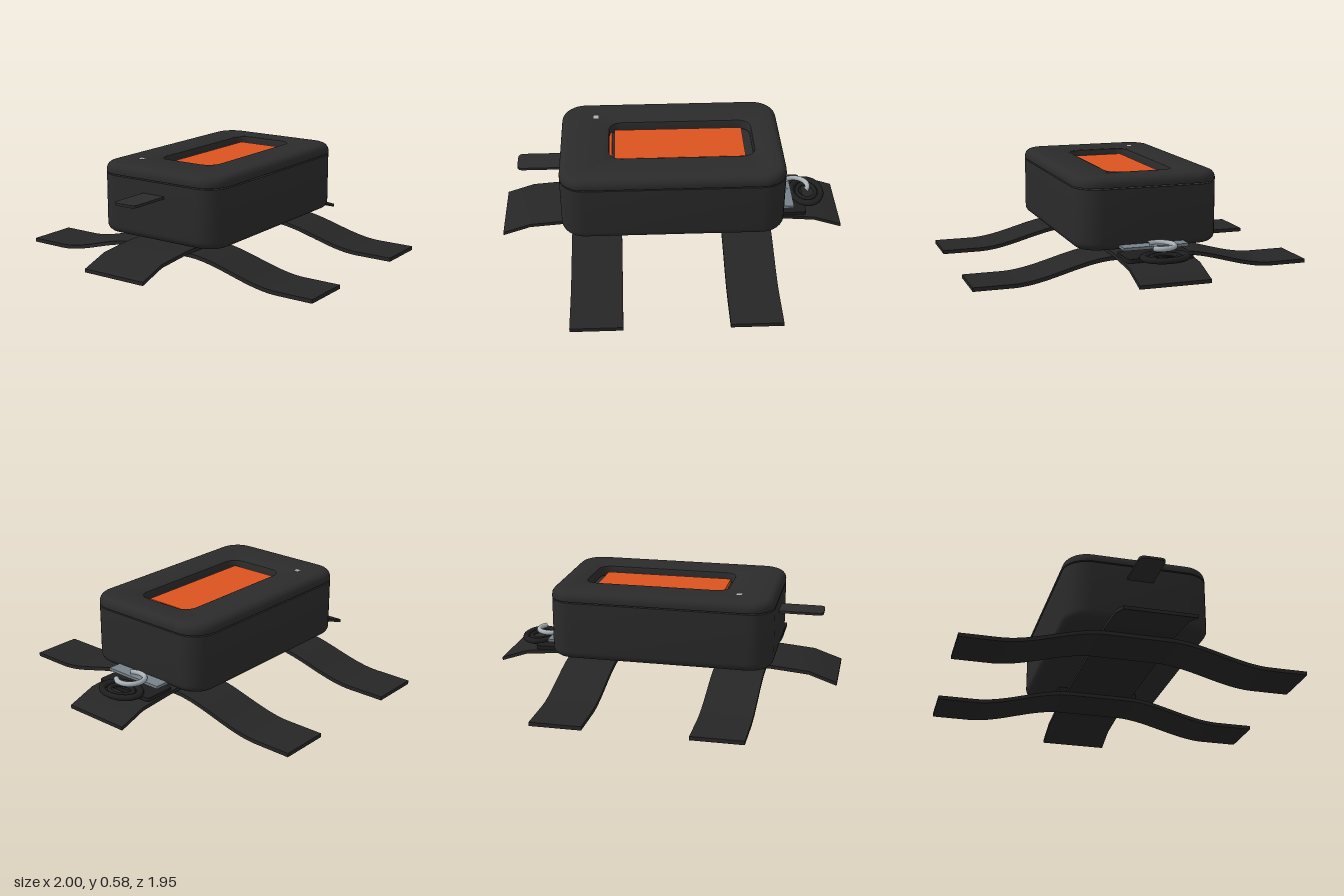
import * as THREE from 'three';
import { toCreasedNormals } from 'three/addons/utils/BufferGeometryUtils.js';

const mat = (name, color, side = THREE.FrontSide) => {
  const m = new THREE.MeshStandardMaterial({ color, side });
  m.name = name;
  return m;
};

// One rounded rectangle, as a ring of points at height y
function ring([x0, x1, z0, z1, r, y], steps = 8) {
  const corners = [[x1 - r, z1 - r], [x0 + r, z1 - r], [x0 + r, z0 + r], [x1 - r, z0 + r]];
  const pts = [];
  corners.forEach(([cx, cz], q) => {
    for (let i = 0; i <= steps; i++) {
      const a = (q + i / steps) * Math.PI / 2;
      pts.push([cx + r * Math.cos(a), y, cz + r * Math.sin(a)]);
    }
  });
  return pts;
}

// Skin a stack of rounded rectangles
function loft(levels) {
  const rings = levels.map(l => ring(l));
  const n = rings[0].length, index = [];
  for (let i = 0; i < rings.length - 1; i++) {
    for (let j = 0; j < n; j++) {
      const a = i * n + j, b = i * n + (j + 1) % n, c = a + n, d = b + n;
      index.push(a, c, b, b, c, d);
    }
  }
  const g = new THREE.BufferGeometry();
  g.setAttribute('position', new THREE.Float32BufferAttribute(rings.flat(2), 3));
  g.setIndex(index);
  return toCreasedNormals(g, 0.6);
}

// Outer case outline, inset by s, at height y
const outline = (s, y) => [-0.645 + s, 0.64 - s, -0.415 + s, 0.41 - s, 0.14 - s, y];
const opening = (s, y) => [-0.36 - s, 0.47 + s, -0.185 - s, 0.18 + s, 0.07 + s, y];
const centre = y => [0, 0, 0, 0, 0, y];

// Quarter-round edge: inset and height pairs
function edge(r, y, up) {
  const out = [];
  for (let i = 0; i <= 6; i++) {
    const a = i / 6 * Math.PI / 2;
    out.push(outline(r * (1 - Math.cos(a)), y + (up ? 1 : -1) * r * Math.sin(a)));
  }
  return up ? out : out.reverse();
}

// Flat band following a centre line, extruded across its width
function band(points, thickness, width) {
  const h = thickness / 2;
  const s = new THREE.Shape([
    ...points.map(([u, y]) => new THREE.Vector2(u, y - h)),
    ...points.slice().reverse().map(([u, y]) => new THREE.Vector2(u, y + h))]);
  const g = new THREE.ExtrudeGeometry(s, { depth: width, bevelEnabled: false });
  g.translate(0, 0, -width / 2);
  return toCreasedNormals(g, 0.5);
}

export function createModel() {
  const group = new THREE.Group();
  const black = mat('case black', 0x2b2b2b);
  const webbing = mat('webbing black', 0x262626);
  const rubber = mat('rubber black', 0x1e1e1e);
  const orange = mat('panel orange', 0xdb5320);
  const steel = mat('steel', 0x76828a);
  const bright = mat('bright steel', 0xaab2b8);

  const add = (name, geometry, material, x = 0, y = 0, z = 0) => {
    const m = new THREE.Mesh(geometry, material);
    m.name = name;
    m.position.set(x, y, z);
    group.add(m);
    return m;
  };
  const slab = (name, material, x0, x1, y0, y1, z0, z1) => add(name,
    new THREE.BoxGeometry(x1 - x0, y1 - y0, z1 - z0), material,
    (x0 + x1) / 2, (y0 + y1) / 2, (z0 + z1) / 2);
  const pad = (name, material, x0, x1, y0, y1, z0, z1, r) => add(name, loft([
    centre(y0).map((v, i) => i === 5 ? v : i < 2 ? (x0 + x1) / 2 : i < 4 ? (z0 + z1) / 2 : 0),
    [x0, x1, z0, z1, r, y0], [x0, x1, z0, z1, r, y1],
    [(x0 + x1) / 2, (x0 + x1) / 2, (z0 + z1) / 2, (z0 + z1) / 2, 0, y1]]), material);

  // Case and separate lid with a window, a hairline gap between them
  add('caseBody', loft([centre(0.178), ...edge(0.045, 0.223, false),
    outline(0, 0.515), centre(0.515)]), black);
  add('lid', loft([outline(0, 0.522), ...edge(0.045, 0.535, true),
    opening(0.012, 0.58), opening(0.004, 0.576), opening(0, 0.568),
    opening(0, 0.522), outline(0, 0.522)]), black);

  // Orange panel in the window, with its hinge strip
  slab('windowPanel', orange, -0.33, 0.42, 0.524, 0.55, -0.15, 0.145);
  slab('hingeStrip', orange, -0.42, -0.345, 0.524, 0.535, -0.15, 0.145);
  slab('hingePin', orange, -0.42, -0.38, 0.512, 0.53, -0.15, 0.145);
  // Small indicator on the lid
  slab('indicator', bright, -0.455, -0.425, 0.576, 0.581, -0.265, -0.235);

  // Pull tab on the side
  pad('pullTab', black, -0.9, -0.6, 0.43, 0.444, -0.08, 0.068, 0.03);

  // Long strap below the case
  add('longStrap', band([[-1, 0.068], [-0.84, 0.123], [-0.62, 0.142],
    [0.62, 0.142], [0.84, 0.123], [1, 0.068]], 0.02, 0.4), webbing);

  // Two cross straps, draping down to the ground
  const drape = [];
  for (let i = -40; i <= 40; i++) {
    const u = i / 40 * 0.975;
    drape.push([u, 0.012 + 0.108 * (1 - THREE.MathUtils.smoothstep(Math.abs(u), 0.18, 0.76))]);
  }
  for (const [x, w] of [[-0.445, 0.29], [0.425, 0.29]]) {
    const strap = add('crossStrap', band(drape, 0.022, w), webbing, x);
    strap.rotation.y = Math.PI / 2;
  }

  // Mounts between the case and the straps
  for (const x of [-0.41, 0.4]) {
    slab('mount', rubber, x - 0.07, x + 0.07, 0.148, 0.182, -0.245, 0.245);
  }

  // Buckle: base, steel bar, open hook and rubber loop
  pad('buckleBase', rubber, 0.6, 0.79, 0.142, 0.165, -0.19, 0.19, 0.02);
  slab('buckleBar', steel, 0.63, 0.715, 0.192, 0.208, -0.185, 0.185);
  const hook = new THREE.TorusGeometry(0.078, 0.015, 10, 32, Math.PI * 1.5);
  hook.rotateZ(-Math.PI / 4);
  hook.rotateX(-Math.PI / 2);
  add('hook', hook, bright, 0.742, 0.214, -0.01);
  for (const [r, t] of [[0.088, 0.017], [0.055, 0.012]]) {
    const loop = new THREE.TorusGeometry(r, t, 10, 36);
    loop.rotateX(Math.PI / 2);
    loop.scale(1, 1, 1.35);
    add('rubberLoop', loop, rubber, 0.815, 0.17, -0.01);
  }
  return group;
}
